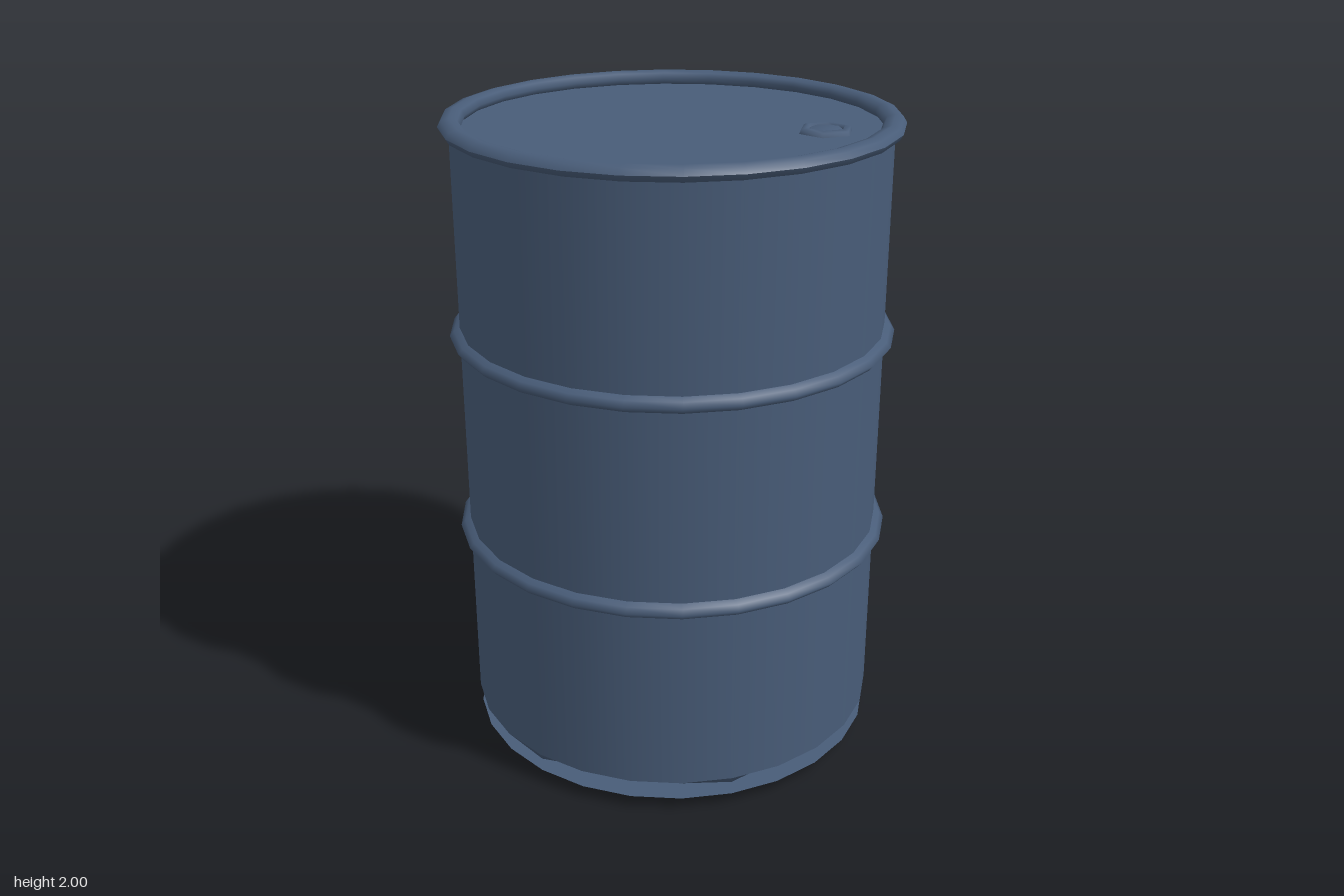
import * as THREE from 'three';

const SIDES = 26;

export function createModel() {
  const drum = new THREE.Group();
  drum.name = 'drum';
  const steel = new THREE.MeshStandardMaterial({ color: 0x485c78, side: THREE.DoubleSide });
  steel.name = 'blueSteel';

  const add = (name, geometry, x = 0, y = 0, z = 0) => {
    const mesh = new THREE.Mesh(geometry, steel);
    mesh.name = name;
    mesh.position.set(x, y, z);
    drum.add(mesh);
    return mesh;
  };
  const lathe = (points, sides = SIDES) =>
    new THREE.LatheGeometry(points.map(([r, y]) => new THREE.Vector2(r, y)), sides);

  // Flat disc facing up or down, with a vertex on the z axis
  const disc = (radius, up, sides = SIDES) => {
    const g = new THREE.CircleGeometry(radius, sides, Math.PI / 2);
    return g.rotateX(up ? -Math.PI / 2 : Math.PI / 2);
  };

  // Side wall
  add('wall', lathe([[0.65, 0.1], [0.65, 1.96]]));

  // Pressed hoops around the wall
  for (const [name, y] of [['lowerHoop', 0.7], ['upperHoop', 1.34]]) {
    add(name, lathe([[0.648, -0.026], [0.668, -0.016], [0.681, 0], [0.668, 0.016], [0.648, 0.026]]), 0, y, 0);
  }

  // Rolled top rim, closed tube profile
  const rim = [];
  for (let i = 0; i <= 8; i++) {
    const a = (i / 8) * Math.PI * 2;
    rim.push([0.647 + 0.034 * Math.cos(a), 0.024 * Math.sin(a)]);
  }
  add('topRim', lathe(rim), 0, 1.975, 0);

  // Recessed lid
  add('lid', disc(0.64, true), 0, 1.955, 0);

  // Hexagonal bung with a sunken plug
  add('bungCollar', lathe([[0.083, 0], [0.078, 0.012], [0.06, 0.016], [0.054, 0.004]], 6), 0.45, 1.956, 0);
  add('bungPlug', lathe([[0.05, 0], [0.046, 0.012], [0, 0.012]], 8), 0.45, 1.956, 0);

  // Dented lip under the wall
  const lip = lathe([[0.625, 0.1], [0.65, 0.1]]);
  const lp = lip.attributes.position;
  for (let i = 0; i < lp.count; i += 2) {
    const x = lp.getX(i), z = lp.getZ(i);
    const dented = Math.abs(Math.abs(x) - 0.29) < 0.03 || (x > 0.53 && x < 0.57 && z < 0);
    if (dented) {
      lp.setXYZ(i, x * 1.03, 0.082, z * 1.03);
    }
  }
  lip.computeVertexNormals();
  add('bottomLip', lip);

  // Bottom plate, bent down along one edge
  const bottom = disc(0.645, false);
  const bp = bottom.attributes.position;
  for (let i = 0; i < bp.count; i++) {
    const x = bp.getX(i), z = bp.getZ(i);
    const bent = x < -0.59 && z < 0.12 && z > -0.27;
    bp.setY(i, bent ? 0 : 0.04);
  }
  const flat = bottom.toNonIndexed();
  flat.computeVertexNormals();
  add('bottomPlate', flat);

  return drum;
}
